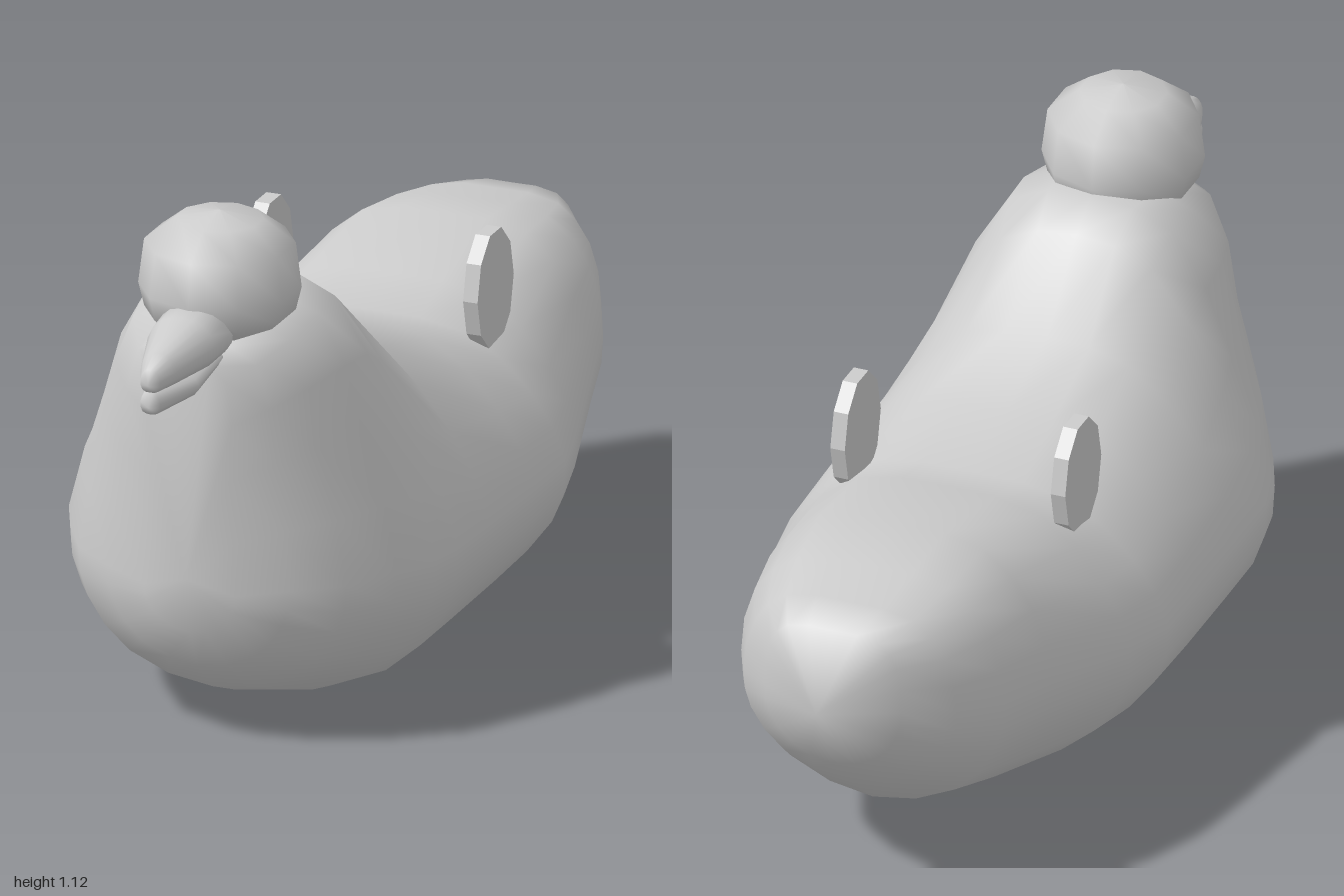
import * as THREE from 'three';

const grey = new THREE.MeshStandardMaterial({ color: 0xcccccc, side: THREE.DoubleSide });

function part(name, geometry) {
  const mesh = new THREE.Mesh(geometry, grey);
  mesh.name = name;
  return mesh;
}

// Loft through half-outlines mirrored in x, ordered front to back:
// { z, half: [[x, y], ...] } from bottom centre to top centre.
function loft(sections, sides, frontTip, backTip) {
  const pos = [], index = [];
  for (const { z, half } of sections) {
    const mirrored = half.slice(1, -1).reverse().map(([x, y]) => [-x, y]);
    const points = [...half, ...mirrored].map(([x, y]) => new THREE.Vector3(x, y, z));
    const curve = new THREE.CatmullRomCurve3(points, true, 'centripetal');
    for (let j = 0; j < sides; j++) {
      const p = curve.getPoint(j / sides);
      pos.push(p.x, p.y, p.z);
    }
  }
  const last = sections.length - 1, front = sections.length * sides, back = front + 1;
  pos.push(...frontTip, ...backTip);
  for (let j = 0; j < sides; j++) {
    const k = (j + 1) % sides;
    for (let i = 0; i < last; i++) {
      const a = i * sides + j, b = i * sides + k;
      index.push(a, a + sides, b, b, a + sides, b + sides);
    }
    index.push(front, j, k, back, last * sides + k, last * sides + j);
  }
  const g = new THREE.BufferGeometry();
  g.setAttribute('position', new THREE.Float32BufferAttribute(pos, 3));
  g.setIndex(index);
  g.computeVertexNormals();
  return g;
}

// Body: z, bottom y, widest half-width and its y, shoulder x and y, top half-width, top y
const bodyRows = [
  [0.78, 0.26, 0.10, 0.35, 0.09, 0.60, 0.08, 0.85],
  [0.735, 0.17, 0.20, 0.36, 0.17, 0.63, 0.13, 0.88],
  [0.66, 0.10, 0.295, 0.36, 0.235, 0.65, 0.175, 0.92],
  [0.55, 0.055, 0.36, 0.36, 0.285, 0.66, 0.19, 0.94],
  [0.45, 0.02, 0.405, 0.36, 0.31, 0.64, 0.18, 0.95],
  [0.37, 0.0, 0.42, 0.36, 0.325, 0.60, 0.165, 0.90],
  [0.22, 0.008, 0.425, 0.36, 0.34, 0.55, 0.18, 0.74],
  [0.0, 0.02, 0.43, 0.36, 0.355, 0.52, 0.20, 0.68],
  [-0.17, 0.03, 0.43, 0.36, 0.355, 0.50, 0.21, 0.63],
  [-0.30, 0.036, 0.40, 0.37, 0.34, 0.51, 0.20, 0.665],
  [-0.55, 0.10, 0.33, 0.41, 0.29, 0.57, 0.18, 0.71],
  [-0.70, 0.15, 0.29, 0.43, 0.26, 0.58, 0.165, 0.69],
  [-0.82, 0.25, 0.235, 0.46, 0.21, 0.58, 0.14, 0.67],
  [-0.91, 0.34, 0.15, 0.49, 0.14, 0.59, 0.10, 0.65],
];

function bodySection([z, yb, w, ym, u, yu, t, yt]) {
  return {
    z,
    half: [
      [0, yb], [w * 0.62, yb + (ym - yb) * 0.2], [w * 0.93, yb + (ym - yb) * 0.6],
      [w, ym], [u, yu], [t, yt - (yt - yu) * 0.15], [0, yt],
    ],
  };
}

// One half of the bill: rows of z, half-width, bottom y, top y
function bill(rows, tip) {
  const sections = rows.map(([z, w, lo, hi]) => ({
    z, half: [[0, lo], [w * 0.8, lo + (hi - lo) * 0.1], [w, lo + (hi - lo) * 0.5], [w * 0.6, lo + (hi - lo) * 0.9], [0, hi]],
  }));
  return loft(sections, 16, tip, [0, (rows.at(-1)[2] + rows.at(-1)[3]) / 2, 0.7]);
}

export function createModel() {
  const model = new THREE.Group();
  model.name = 'birdFloat';

  model.add(part('body', loft(bodyRows.map(bodySection), 24, [0, 0.38, 0.8], [0, 0.5, -1])));

  // Head: a squat dome with a narrower underside
  const profile = [[0, 0.86], [0.11, 0.87], [0.155, 0.91], [0.167, 0.96], [0.155, 1.055], [0.09, 1.105], [0, 1.122]];
  const head = part('head', new THREE.LatheGeometry(profile.map(([x, y]) => new THREE.Vector2(x, y)), 10));
  head.position.z = 0.62;
  model.add(head);

  // Blunt bill, upper and lower halves meeting at the mouth line
  model.add(part('upperBill', bill([
    [0.985, 0.022, 0.85, 0.9], [0.94, 0.04, 0.85, 0.92], [0.82, 0.075, 0.85, 0.955], [0.74, 0.08, 0.855, 0.965],
  ], [0, 0.87, 1])));
  model.add(part('lowerBill', bill([
    [0.985, 0.022, 0.803, 0.853], [0.86, 0.055, 0.803, 0.858], [0.74, 0.065, 0.84, 0.88],
  ], [0, 0.82, 0.995])));

  // Upright oval hand grips on both sides of the back
  const disc = new THREE.CylinderGeometry(1, 1, 0.032, 10).toNonIndexed();
  disc.rotateZ(Math.PI / 2);
  disc.scale(1, 0.13, 0.095);
  disc.computeVertexNormals();
  for (const [name, side] of [['leftGrip', 1], ['rightGrip', -1]]) {
    const grip = part(name, disc);
    grip.position.set(side * 0.243, 0.7, -0.21);
    model.add(grip);
  }
  return model;
}
